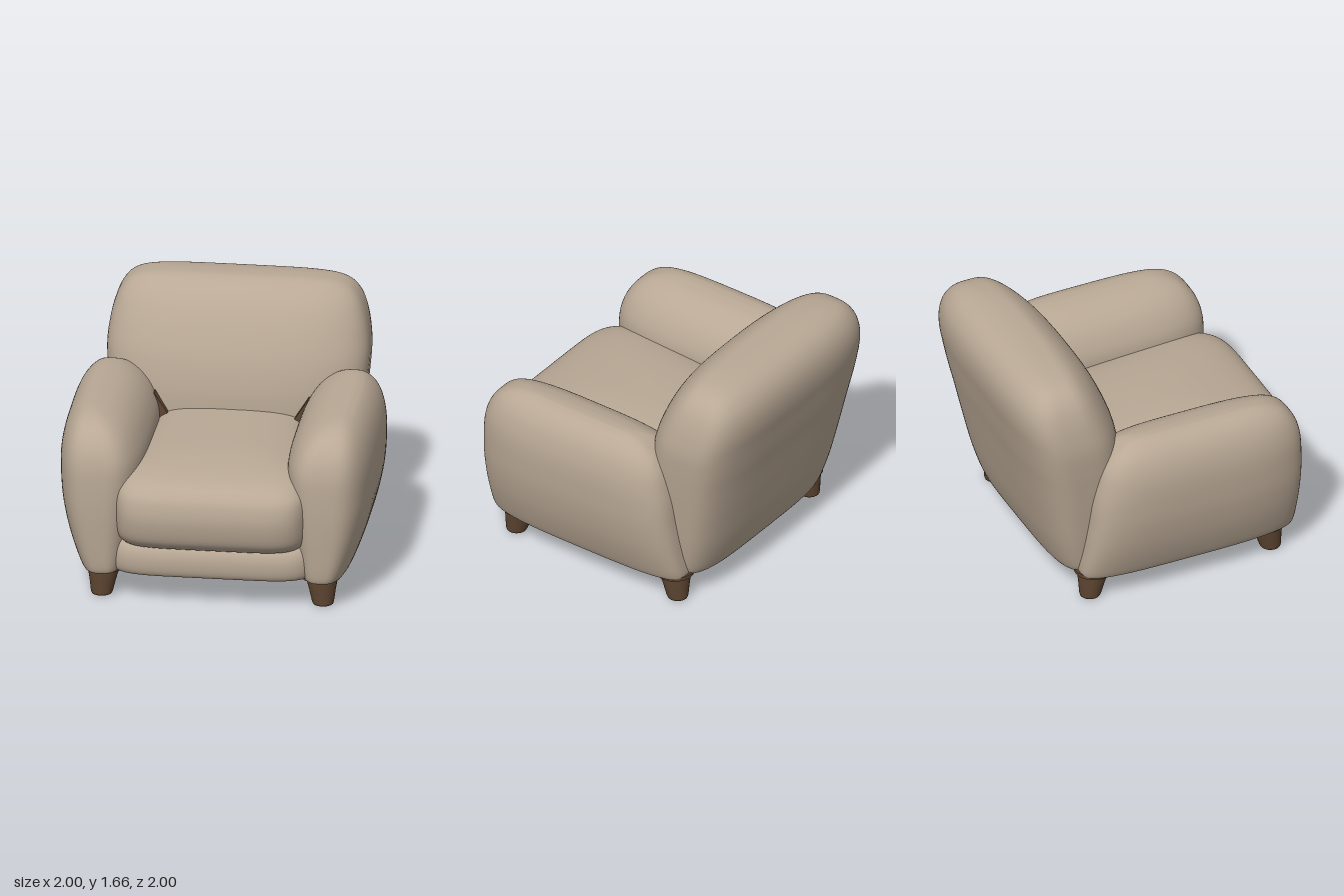
import * as THREE from 'three';

const fabric = new THREE.MeshStandardMaterial({ color: 0xb9a895 });
fabric.name = 'beige fabric';
const wood = new THREE.MeshStandardMaterial({ color: 0x5f4632 });
wood.name = 'brown wood';

// Upholstered volume: superellipse rings stacked in y, smoothed between rows.
// Each row is [y, xMin, xMax, zMin, zMax]; nFront / nBack set how square the ends are.
function pillow(rows, nFront, nBack, deform) {
  const A = new THREE.CatmullRomCurve3(rows.map(r => new THREE.Vector3(r[0], r[1], r[2])), false, 'catmullrom', 0.5);
  const B = new THREE.CatmullRomCurve3(rows.map(r => new THREE.Vector3(r[3], r[4], 0)), false, 'catmullrom', 0.5);
  const N = 72, M = (rows.length - 1) * 5;
  const pos = [], idx = [];
  const power = (v, n) => Math.sign(v) * Math.pow(Math.abs(v), 2 / n);
  const add = (x, y, z) => {
    const p = new THREE.Vector3(x, y, z);
    if (deform) deform(p);
    pos.push(p.x, p.y, p.z);
  };
  for (let i = 0; i <= M; i++) {
    const a = A.getPoint(i / M), b = B.getPoint(i / M);
    for (let j = 0; j < N; j++) {
      const t = j / N * Math.PI * 2, s = Math.sin(t), n = s >= 0 ? nFront : nBack;
      add((a.y + a.z) / 2 + (a.z - a.y) / 2 * power(Math.cos(t), n), a.x,
        (b.x + b.y) / 2 + (b.y - b.x) / 2 * power(s, n));
    }
  }
  for (const r of [rows[0], rows[rows.length - 1]]) add((r[1] + r[2]) / 2, r[0], (r[3] + r[4]) / 2);
  const low = (M + 1) * N, high = low + 1;
  for (let j = 0; j < N; j++) {
    const k = (j + 1) % N;
    for (let i = 0; i < M; i++) {
      const a = i * N + j, b = i * N + k, c = a + N, d = b + N;
      idx.push(a, c, b, b, c, d);
    }
    idx.push(low, j, k, high, M * N + k, M * N + j);
  }
  const g = new THREE.BufferGeometry();
  g.setAttribute('position', new THREE.Float32BufferAttribute(pos, 3));
  g.setIndex(idx);
  g.computeVertexNormals();
  return g;
}

export function createModel() {
  const chair = new THREE.Group();
  chair.name = 'armchair';
  const add = (name, geometry, material) => {
    const m = new THREE.Mesh(geometry, material);
    m.name = name;
    chair.add(m);
    return m;
  };
  const symmetric = rows => rows.map(([y, x, z0, z1]) => [y, -x, x, z0, z1]);

  // Base with the front rail
  add('base', pillow(symmetric([
    [0.185, 0.66, -0.62, 0.83], [0.2, 0.68, -0.64, 0.875], [0.25, 0.69, -0.65, 0.895],
    [0.33, 0.69, -0.65, 0.895], [0.39, 0.68, -0.64, 0.87], [0.42, 0.66, -0.62, 0.82],
  ]), 6, 6), fabric);

  // Seat cushion, narrower towards the back
  add('seatCushion', pillow(symmetric([
    [0.385, 0.57, -0.5, 0.86], [0.405, 0.605, -0.5, 0.91], [0.47, 0.625, -0.5, 0.97],
    [0.6, 0.63, -0.5, 1.0], [0.71, 0.63, -0.5, 0.99], [0.78, 0.615, -0.5, 0.955],
    [0.835, 0.57, -0.5, 0.88], [0.872, 0.49, -0.5, 0.74], [0.895, 0.36, -0.48, 0.54],
    [0.905, 0.2, -0.4, 0.35], [0.908, 0.06, -0.1, 0.15],
  ]), 6, 6, p => {
    p.x *= 0.8 + 0.2 * THREE.MathUtils.smoothstep(p.z, -0.3, 0.7);
  }), fabric);

  // Backrest, leaning backwards and widening upwards
  add('backrest', pillow(symmetric([
    [0.18, 0.66, -0.67, -0.3], [0.205, 0.71, -0.72, -0.25], [0.4, 0.75, -0.79, -0.22],
    [0.65, 0.785, -0.85, -0.21], [0.9, 0.815, -0.905, -0.215], [1.05, 0.83, -0.94, -0.23],
    [1.2, 0.838, -0.97, -0.265], [1.33, 0.825, -0.995, -0.315], [1.44, 0.8, -0.998, -0.37],
    [1.53, 0.762, -0.975, -0.43], [1.6, 0.7, -0.925, -0.5], [1.64, 0.6, -0.855, -0.56],
    [1.66, 0.42, -0.77, -0.61], [1.665, 0.2, -0.7, -0.65],
  ]), 2.6, 4), fabric);

  // Rounded arms
  const armRows = [
    [0.18, 0.58, 0.82, -0.58, 0.82], [0.205, 0.54, 0.865, -0.62, 0.86], [0.4, 0.5, 0.94, -0.605, 0.878],
    [0.6, 0.47, 0.985, -0.585, 0.888], [0.77, 0.45, 1.0, -0.57, 0.888], [0.9, 0.452, 1.0, -0.545, 0.88],
    [1.0, 0.485, 0.985, -0.515, 0.855], [1.08, 0.535, 0.958, -0.465, 0.81], [1.14, 0.6, 0.92, -0.395, 0.745],
    [1.18, 0.675, 0.875, -0.32, 0.65], [1.197, 0.75, 0.83, -0.24, 0.53], [1.2, 0.79, 0.81, -0.1, 0.4],
  ];
  add('leftArm', pillow(armRows, 3.2, 3.6), fabric);
  add('rightArm', pillow(armRows.map(([y, a, b, z0, z1]) => [y, -b, -a, z0, z1]), 3.2, 3.6), fabric);

  // Wooden frame posts showing in the gaps beside the cushion
  for (const s of [1, -1]) {
    const shape = new THREE.Shape([[0.4, 0.4], [0.4, 0.86], [0.49, 1.0], [0.55, 1.0], [0.55, 0.4]]
      .map(([x, y]) => new THREE.Vector2(s * x, y)));
    const post = new THREE.ExtrudeGeometry(shape, { depth: 0.25, bevelEnabled: false });
    post.translate(0, 0, -0.45);
    add(s > 0 ? 'leftFramePost' : 'rightFramePost', post, wood);
  }

  // Tapered legs, leaning outwards from a mounting disc
  const profile = [[0, 0], [0.05, 0], [0.064, 0.006], [0.07, 0.02], [0.085, 0.1], [0.105, 0.185], [0.105, 0.22], [0, 0.22]]
    .map(([r, y]) => new THREE.Vector2(r, y));
  for (const sx of [1, -1]) {
    for (const front of [true, false]) {
      const leg = new THREE.LatheGeometry(profile, 32);
      const p = leg.attributes.position;
      for (let i = 0; i < p.count; i++) {
        const k = 1 - p.getY(i) / 0.2;
        p.setX(i, p.getX(i) + sx * (0.695 + 0.012 * k));
        p.setZ(i, p.getZ(i) + (front ? 0.692 : -0.515) + (front ? 0.028 : -0.03) * k);
      }
      leg.computeVertexNormals();
      const name = (front ? 'front' : 'back') + (sx > 0 ? 'Left' : 'Right');
      add(name + 'Leg', leg, wood);
      const disc = new THREE.CylinderGeometry(0.125, 0.125, 0.025, 32);
      disc.translate(sx * 0.69, 0.188, front ? 0.69 : -0.51);
      add(name + 'LegMount', disc, wood);
    }
  }
  return chair;
}
